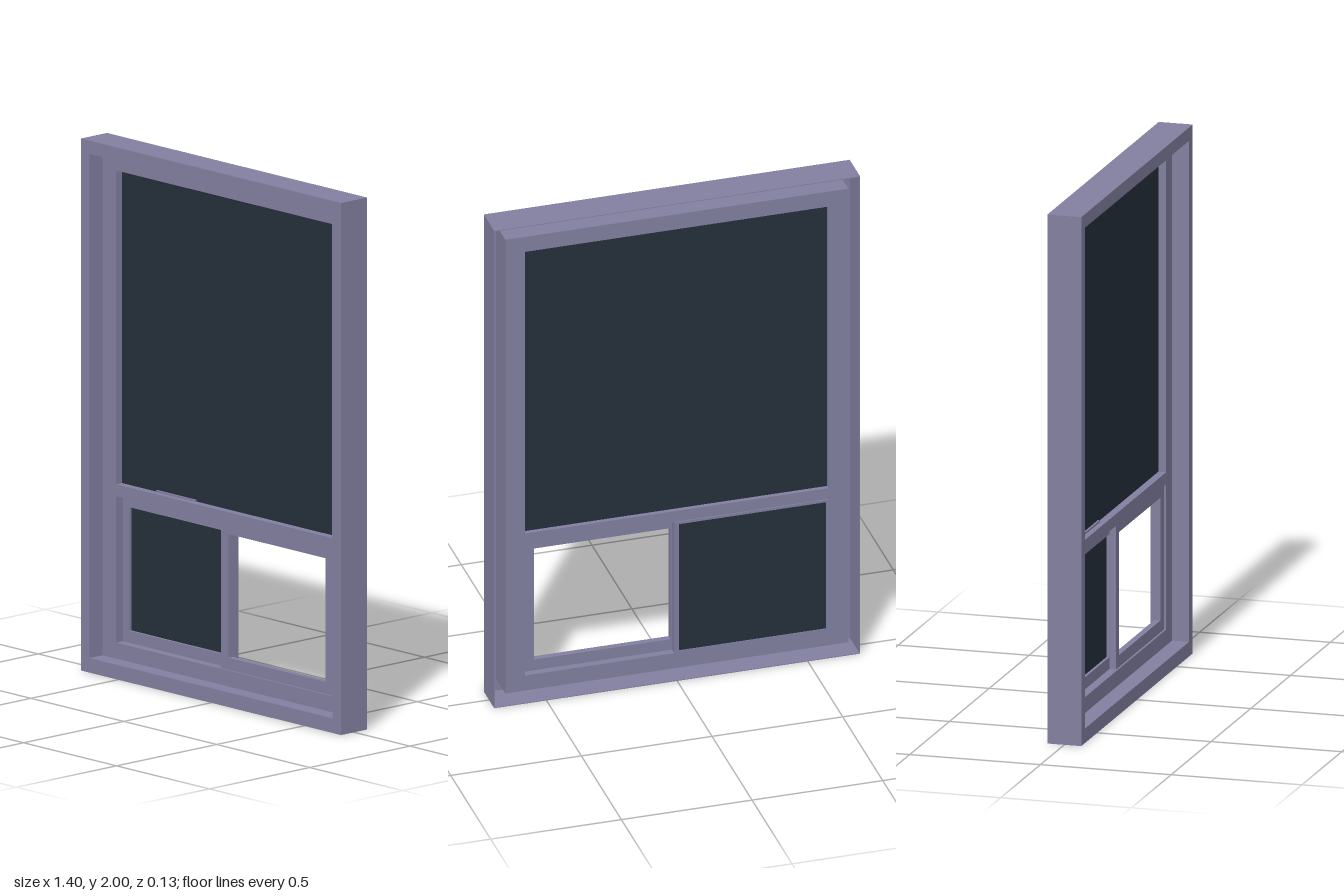
import * as THREE from 'three';

const frameMat = new THREE.MeshStandardMaterial({ color: 0x8280a0 });
frameMat.name = 'frame lavender grey';
const glassMat = new THREE.MeshStandardMaterial({ color: 0x25303a });
glassMat.name = 'dark glass';

// Rectangles are [x0, y0, x1, y1]
const corners = ([x0, y0, x1, y1]) => [[x0, y0], [x1, y0], [x1, y1], [x0, y1]].map(p => new THREE.Vector2(...p));

// Flat rectangular slab with rectangular openings, between two depths
function panel(name, outer, holes, z0, z1, mat = frameMat) {
  const shape = new THREE.Shape(corners(outer));
  holes.forEach(h => shape.holes.push(new THREE.Path(corners(h).reverse())));
  const geo = new THREE.ExtrudeGeometry(shape, { depth: z1 - z0, bevelEnabled: false });
  geo.translate(0, 0, z0);
  const mesh = new THREE.Mesh(geo, mat);
  mesh.name = name;
  return mesh;
}

export function createModel() {
  const model = new THREE.Group();
  model.name = 'window';
  const outer = [-0.7, 0, 0.7, 2];
  const inner = [-0.653, 0.055, 0.653, 1.95];
  const upper = [-0.58, 0.71, 0.58, 1.89];
  const lower = [-0.58, 0.115, 0.58, 0.665];

  model.add(
    // Thin outer casing, open behind, with a flange and collar at the front
    panel('outerCasing', outer, [[-0.697, 0.003, 0.697, 1.997]], -0.065, 0.065),
    panel('frontFlange', [-0.697, 0.003, 0.697, 1.997], [inner], 0.055, 0.065),
    panel('frontCollar', [-0.656, 0.052, 0.656, 1.953], [inner], -0.06, 0.055),
    // Main frame with transom
    panel('mainFrame', inner, [upper, lower], -0.06, 0),
    // Fixed upper pane
    panel('upperGlass', upper, [], -0.042, -0.03, glassMat),
    // Front sash, open
    panel('openSash', [-0.025, 0.115, 0.58, 0.665], [[0.015, 0.16, 0.537, 0.625]], -0.032, -0.008),
    // Rear sash with its pane
    panel('glazedSash', [-0.58, 0.115, 0.01, 0.665], [[-0.545, 0.16, -0.025, 0.625]], -0.055, -0.033),
    panel('lowerGlass', [-0.545, 0.16, -0.025, 0.625], [], -0.055, -0.044, glassMat),
    panel('rearScreen', [-0.57, 0.125, -0.008, 0.655], [], -0.061, -0.055, glassMat),
    panel('rearScreenTrim', [-0.58, 0.115, 0.01, 0.665], [[-0.57, 0.125, -0.008, 0.655]], -0.064, -0.055),
    // Small ledge at the foot of the upper pane
    panel('sillClip', [-0.39, 0.71, -0.18, 0.717], [], -0.03, -0.022)
  );
  return model;
}
